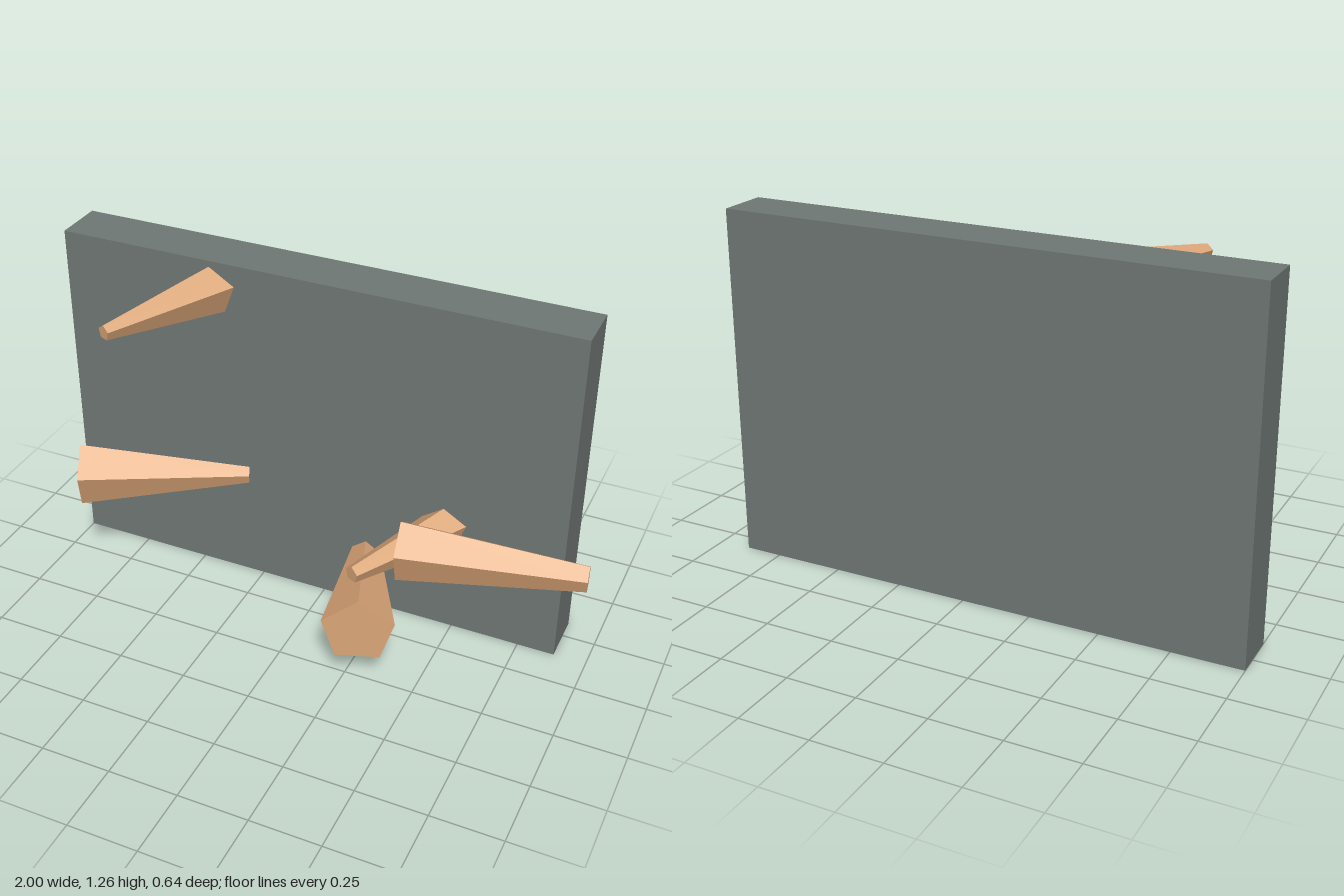
import * as THREE from 'three';

const stone = new THREE.MeshStandardMaterial({ color: 0x707875, flatShading: true });
const wood = new THREE.MeshStandardMaterial({ color: 0xdba678, flatShading: true });

// Level five-sided tapered peg, one corner up; ends are [x, z, radius]
function peg(name, y, [x1, z1, r1], [x2, z2, r2]) {
  const a = new THREE.Vector3(x1, y, z1);
  const b = new THREE.Vector3(x2, y, z2);
  const geometry = new THREE.CylinderGeometry(r2, r1, a.distanceTo(b), 5);
  geometry.rotateX(-Math.PI / 2);
  const mesh = new THREE.Mesh(geometry, wood);
  mesh.name = name;
  mesh.position.copy(a).add(b).multiplyScalar(0.5);
  mesh.lookAt(a);
  return mesh;
}

export function createModel() {
  const group = new THREE.Group();
  group.name = 'pegWall';

  // Upright wall slab
  const wall = new THREE.Mesh(new THREE.BoxGeometry(1.884, 1.262, 0.184), stone);
  wall.name = 'wallSlab';
  wall.position.set(-0.058, 0.631, -0.23);
  group.add(wall);

  // Pegs set into the wall
  group.add(
    peg('upperPeg', 1.154, [-0.605, 0.272, 0.0265], [-0.388, -0.25, 0.102]),
    peg('lowerPeg', 0.218, [0.305, 0.275, 0.131], [0.122, -0.25, 0.034]),
    peg('middlePeg', 0.425, [0.263, 0.238, 0.03], [0.5, -0.25, 0.09]),
  );

  // Loose pegs lying across the front
  group.add(
    peg('rightSidePeg', 0.455, [-0.843, 0.125, 0.115], [-0.286, -0.111, 0.031]),
    peg('leftSidePeg', 0.442, [0.363, 0.058, 0.109], [0.99, -0.047, 0.047]),
  );
  return group;
}
